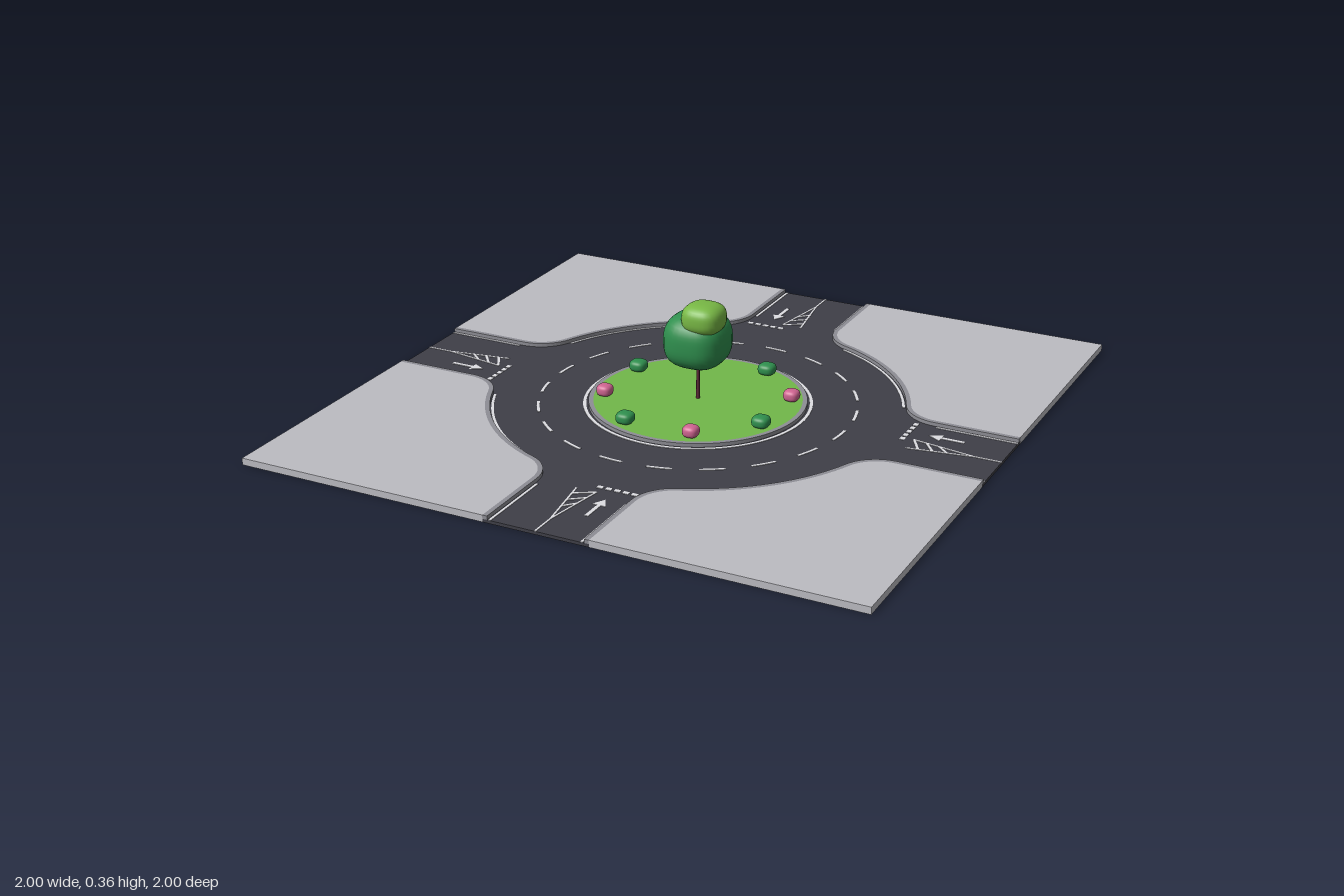
import * as THREE from 'three';
import { mergeGeometries } from 'three/addons/utils/BufferGeometryUtils.js';

const mat = (name, color) => {
  const m = new THREE.MeshStandardMaterial({ color });
  m.name = name;
  return m;
};
const V = (x, y) => new THREE.Vector2(x, y);

// Levels and plan sizes
const ROAD_TOP = 0.01, PAVE_TOP = 0.022;
const HALF = 0.17, RING = 0.665, FILLET = 0.12, ISLAND = 0.34;

// Pavement edge of one quadrant, moved towards the road by d
function edge(d) {
  const cx = HALF + FILLET;
  const cy = Math.sqrt((RING + FILLET) ** 2 - cx * cx);
  const turn = Math.atan2(cy, cx), r = FILLET + d, n = 10;
  const half = [V(HALF - d, 1)];
  for (let i = 0; i <= n; i++) {
    const a = Math.PI + turn * i / n;
    half.push(V(cx + r * Math.cos(a), cy + r * Math.sin(a)));
  }
  for (let i = 1; i <= n; i++) {
    const a = turn + (Math.PI / 4 - turn) * i / n;
    half.push(V((RING - d) * Math.cos(a), (RING - d) * Math.sin(a)));
  }
  const mirrored = half.slice(0, -1).reverse().map(p => V(p.y, p.x));
  return [...half, ...mirrored];
}

// Flat slab: plan shape (y of the shape points to -z) raised from y0 to y1
function slab(shape, y0, y1) {
  const g = new THREE.ExtrudeGeometry(shape, { depth: y1 - y0, bevelEnabled: false, curveSegments: 64 });
  return g.rotateX(-Math.PI / 2).translate(0, y0, 0);
}

function disc(r, hole) {
  const s = new THREE.Shape().absarc(0, 0, r, 0, Math.PI * 2, false);
  if (hole) s.holes.push(new THREE.Path().absarc(0, 0, hole, 0, Math.PI * 2, true));
  return s;
}

// Curved stripe between two angles in degrees
function arcStripe(r, w, deg0, deg1) {
  const pts = [], n = 24;
  for (const [rad, from, to] of [[r + w / 2, deg0, deg1], [r - w / 2, deg1, deg0]]) {
    for (let i = 0; i <= n; i++) {
      const a = (from + (to - from) * i / n) * Math.PI / 180;
      pts.push(V(rad * Math.cos(a), rad * Math.sin(a)));
    }
  }
  return new THREE.Shape(pts);
}

// Straight stripe from a to b
function bar(x0, y0, x1, y1, w) {
  const l = Math.hypot(x1 - x0, y1 - y0);
  const nx = -(y1 - y0) / l * w / 2, ny = (x1 - x0) / l * w / 2;
  return new THREE.Shape([V(x0 + nx, y0 + ny), V(x0 - nx, y0 - ny), V(x1 - nx, y1 - ny), V(x1 + nx, y1 + ny)]);
}

// Sphere swollen towards a rounded cube
function puff(w, h, power = 2.8) {
  const g = new THREE.SphereGeometry(1, 32, 24);
  const p = g.attributes.position;
  for (let i = 0; i < p.count; i++) {
    const v = new THREE.Vector3().fromBufferAttribute(p, i);
    const k = (Math.abs(v.x) ** power + Math.abs(v.y) ** power + Math.abs(v.z) ** power) ** (-1 / power);
    p.setXYZ(i, v.x * k * w / 2, v.y * k * h / 2, v.z * k * w / 2);
  }
  g.computeVertexNormals();
  return g;
}

export function createModel() {
  const model = new THREE.Group();
  model.name = 'roundabout';
  const asphalt = mat('asphalt', 0x3f3f47);
  const paving = mat('paving', 0xbcbcc2);
  const kerbGrey = mat('kerb grey', 0x8e8e95);
  const white = mat('marking white', 0xdedee2);
  const grass = mat('grass', 0x72b84a);
  const darkLeaf = mat('dark leaf', 0x2f8f4e);
  const lightLeaf = mat('light leaf', 0x78b845);
  const pink = mat('blossom pink', 0xcf6491);
  const bark = mat('bark', 0x5f2a38);

  const add = (name, geometry, material, parent = model) => {
    const m = new THREE.Mesh(geometry, material);
    m.name = name;
    parent.add(m);
    return m;
  };

  // Road slab: ring with four arms
  const outline = [];
  let quarter = edge(0);
  for (let i = 0; i < 4; i++) {
    outline.push(...quarter);
    quarter = quarter.map(p => V(p.y, -p.x));
  }
  const road = new THREE.Shape(outline);
  road.holes.push(new THREE.Path().absarc(0, 0, ISLAND, 0, Math.PI * 2, true));
  add('road', slab(road, 0, ROAD_TOP), asphalt);

  // Corner pavements with kerbs
  const pavement = slab(new THREE.Shape([...edge(0), V(1, 1)]), 0, PAVE_TOP);
  const kerb = slab(new THREE.Shape([...edge(0), ...edge(0.015).reverse()]), ROAD_TOP, PAVE_TOP);

  // Markings of one arm, drawn for the back arm
  const shapes = [];
  for (const s of [-1, 1]) shapes.push(bar(s * 0.147, 0.74, s * 0.147, 1, 0.008));
  shapes.push(arcStripe(RING - 0.023, 0.008, 22, 68));
  // Give-way dashes
  for (let i = 0; i < 5; i++) shapes.push(bar(-0.148 + i * 0.028, 0.677, -0.129 + i * 0.028, 0.677, 0.015));
  // Direction arrow
  shapes.push(new THREE.Shape([
    V(-0.08, 0.742), V(-0.058, 0.782), V(-0.074, 0.782), V(-0.074, 0.855),
    V(-0.086, 0.855), V(-0.086, 0.782), V(-0.102, 0.782)]));
  // Hatched splitter wedge
  const wedge = y => 0.033 * (0.915 - y) / 0.205;
  for (const s of [-1, 1]) shapes.push(bar(s * wedge(0.71), 0.71, 0, 0.915, 0.006));
  for (const y of [0.712, 0.755, 0.798]) shapes.push(bar(-wedge(y), y, wedge(y + 0.035), y + 0.035, 0.008));
  shapes.push(bar(0, 0.91, 0, 1, 0.006));
  // Lane dashes on the ring
  for (let i = 0; i < 5; i++) shapes.push(arcStripe(0.5, 0.009, i * 18 - 9, i * 18));
  const markings = mergeGeometries(shapes.map(s => slab(s, ROAD_TOP, ROAD_TOP + 0.0015)));

  for (let i = 0; i < 4; i++) {
    const side = new THREE.Group();
    side.name = 'quarter' + (i + 1);
    side.rotation.y = i * Math.PI / 2;
    add('pavement', pavement, paving, side);
    add('kerb', kerb, kerbGrey, side);
    add('roadMarkings', markings, white, side);
    model.add(side);
  }

  // Central island
  add('islandLawn', slab(disc(0.328), 0, PAVE_TOP), grass);
  add('islandBase', slab(disc(ISLAND, 0.328), 0, ROAD_TOP), grass);
  add('islandKerb', slab(disc(0.343, 0.328), ROAD_TOP, PAVE_TOP), kerbGrey);
  add('islandLine', slab(disc(0.36, 0.35), ROAD_TOP, ROAD_TOP + 0.0015), white);

  // Tree
  const tree = new THREE.Group();
  tree.name = 'tree';
  add('trunk', new THREE.CylinderGeometry(0.005, 0.006, 0.16, 12), bark, tree).position.y = 0.1;
  add('crown', puff(0.2, 0.175), darkLeaf, tree).position.y = 0.222;
  add('upperCrown', puff(0.13, 0.095), lightLeaf, tree).position.set(0.035, 0.308, 0.028);
  model.add(tree);

  // Ring of shrubs, flowering and green in turn
  const flower = puff(0.05, 0.038), bush = puff(0.056, 0.038);
  for (let i = 0; i < 8; i++) {
    const a = (i + 0.5) * Math.PI / 4;
    const m = i % 2 ? add('greenShrub', bush, darkLeaf) : add('floweringShrub', flower, pink);
    m.position.set(0.293 * Math.sin(a), 0.041, 0.293 * Math.cos(a));
  }
  return model;
}
